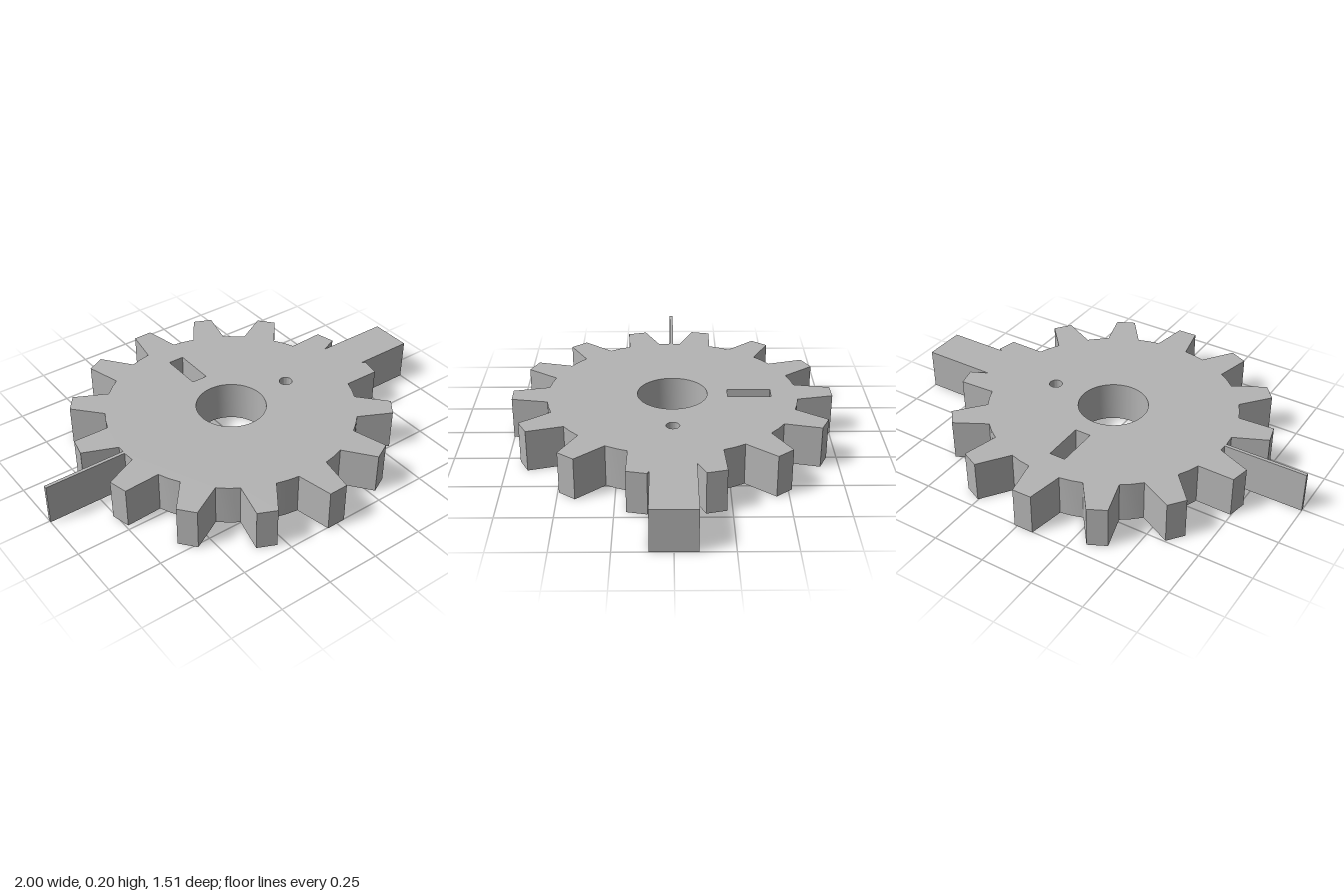
import * as THREE from 'three';
import { toCreasedNormals } from 'three/addons/utils/BufferGeometryUtils.js';

const HEIGHT = 0.198;
const CENTRE_X = -0.019;
const TEETH = 14;

// Gear outline: x stays x, shape y becomes -z once laid flat
function gearShape() {
  const step = (Math.PI * 2) / TEETH;
  const points = [];
  const add = (angle, across, out) => points.push(new THREE.Vector2(
    CENTRE_X + out * Math.sin(angle) + across * Math.cos(angle),
    out * Math.cos(angle) - across * Math.sin(angle)
  ));
  for (let i = 0; i < TEETH; i++) {
    const angle = -0.019 + i * step;
    add(angle, -0.078, 0.584);
    add(angle, -0.046, 0.753);
    add(angle, 0.046, 0.753);
    add(angle, 0.078, 0.584);
    add(angle + step / 2, 0, 0.59); // rounded valley floor
  }
  const shape = new THREE.Shape(points);

  // Shaft bore, pin hole and key slot
  for (const [x, r] of [[CENTRE_X, 0.165], [0.308, 0.031]]) {
    shape.holes.push(new THREE.Path().absarc(x, 0, r, 0, Math.PI * 2, false));
  }
  shape.holes.push(new THREE.Path([
    new THREE.Vector2(-0.058, 0.26),
    new THREE.Vector2(0.02, 0.26),
    new THREE.Vector2(0.02, 0.465),
    new THREE.Vector2(-0.058, 0.465),
  ]));
  return shape;
}

export function createModel() {
  const model = new THREE.Group();
  model.name = 'gearWheel';
  const grey = new THREE.MeshStandardMaterial({ color: 0xb4b4b4 });
  grey.name = 'plainGrey';

  const addPart = (name, geometry) => {
    const mesh = new THREE.Mesh(geometry, grey);
    mesh.name = name;
    model.add(mesh);
    return mesh;
  };

  // Toothed disc lying flat
  const disc = new THREE.ExtrudeGeometry(gearShape(), {
    depth: HEIGHT, bevelEnabled: false, curveSegments: 48,
  });
  disc.rotateX(-Math.PI / 2);
  addPart('toothedDisc', toCreasedNormals(disc, 0.3));

  // Wide arm on one side, thin pointer blade on the other
  const addBar = (name, x0, x1, width) => {
    const bar = addPart(name, new THREE.BoxGeometry(x1 - x0, HEIGHT, width));
    bar.position.set((x0 + x1) / 2, HEIGHT / 2, 0);
  };
  addBar('wideArm', 0.56, 1, 0.2);
  addBar('pointerBlade', -1, -0.6, 0.016);

  return model;
}
